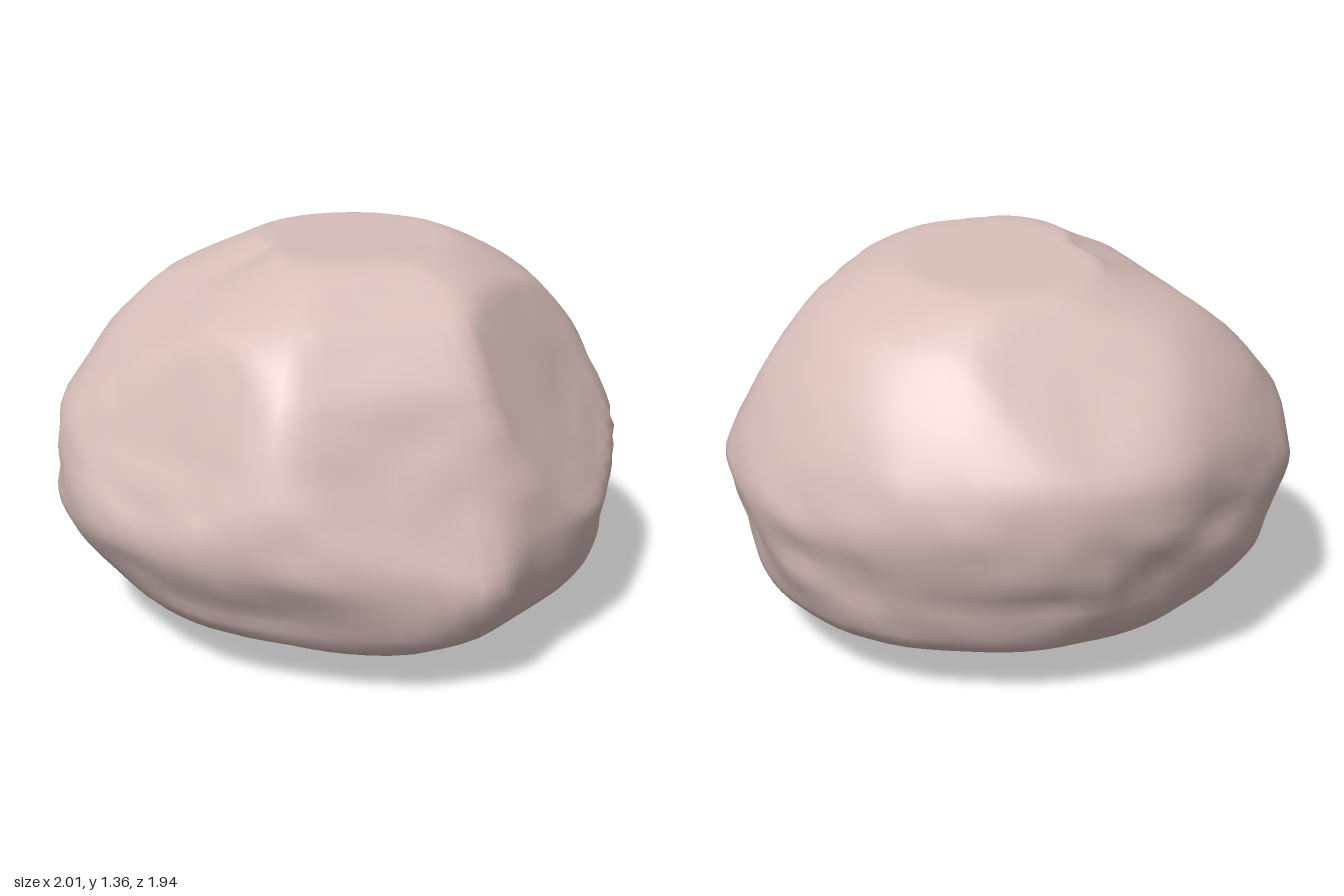
import * as THREE from 'three';

// Heights of the main cross-sections, bottom to top
const HEIGHTS = [0.045, 0.18, 0.32, 0.48, 0.65, 0.82, 1.0, 1.18, 1.3];

// Radius at each height, one row every 30 degrees from +x towards +z
const PROFILES = [
  [0.40, 0.82, 0.90, 0.94, 0.99, 0.94, 0.85, 0.70, 0.50],
  [0.42, 0.84, 0.92, 0.96, 0.96, 0.91, 0.83, 0.68, 0.48],
  [0.48, 0.82, 0.91, 0.94, 0.92, 0.87, 0.82, 0.70, 0.52],
  [0.57, 0.88, 0.95, 0.96, 0.94, 0.90, 0.84, 0.72, 0.56],
  [0.48, 0.80, 0.88, 0.98, 0.98, 0.94, 0.87, 0.74, 0.54],
  [0.42, 0.80, 0.89, 0.98, 0.99, 0.95, 0.86, 0.70, 0.42],
  [0.40, 0.78, 0.93, 1.00, 1.00, 0.98, 0.82, 0.62, 0.32],
  [0.42, 0.78, 0.91, 0.98, 1.01, 0.97, 0.86, 0.67, 0.38],
  [0.42, 0.74, 0.85, 0.91, 0.94, 0.92, 0.85, 0.70, 0.46],
  [0.42, 0.74, 0.83, 0.89, 0.96, 0.96, 0.83, 0.68, 0.52],
  [0.42, 0.75, 0.83, 0.89, 0.95, 0.93, 0.84, 0.71, 0.55],
  [0.42, 0.80, 0.88, 0.93, 0.97, 0.94, 0.86, 0.73, 0.53],
];

// Broken-off flat faces: outward direction and a point on each face
const FACETS = [
  [[0, 1, -0.04], [0, 1.345, 0]], // top
  [[0, 0.86, 0.51], [0, 1.35, 0.4]], // front edge of the top
  [[0, 0.59, 0.81], [0, 1.22, 0.62]], // upper front
  [[0, 0.35, 0.94], [0, 0.95, 0.79]], // front
  [[-0.77, 0.4, 0.5], [-0.45, 1, 0.77]], // front, right-hand side
  [[0.66, 0.45, 0.59], [0.25, 1, 0.77]], // front, left-hand side
  [[-0.6, 0.8, 0], [-0.56, 1.2, 0]], // right shoulder
  [[0, 0.68, -0.73], [0, 1.09, -0.71]], // back shoulder
].map(([normal, point]) => new THREE.Plane().setFromNormalAndCoplanarPoint(
  new THREE.Vector3(...normal).normalize(), new THREE.Vector3(...point)));

const mix = THREE.MathUtils.lerp;

// Curve through a, b, c, d between b and c, partly straightened for flatter faces
function blend(a, b, c, d, t) {
  const cubic = b + 0.5 * t * (c - a + t * (2 * a - 5 * b + 4 * c - d + t * (3 * (b - c) + d - a)));
  return mix(mix(b, c, t), cubic, 0.75);
}

// Repeatable value noise in the range -1 to 1
function hash(x, y, z) {
  const s = Math.sin(x * 127.1 + y * 311.7 + z * 74.7) * 43758.5453;
  return 2 * (s - Math.floor(s)) - 1;
}
function noise(x, y, z) {
  const [i, j, k] = [x, y, z].map(Math.floor);
  const [u, v, w] = [x - i, y - j, z - k];
  const edge = (dy, dz) => mix(hash(i, j + dy, k + dz), hash(i + 1, j + dy, k + dz), u);
  return mix(mix(edge(0, 0), edge(1, 0), v), mix(edge(0, 1), edge(1, 1), v), w);
}

function rockGeometry() {
  const around = 72, steps = 4;
  const ys = [0, ...HEIGHTS, 1.36, 1.37];
  const rows = PROFILES.map((p) => [0, ...p, p[8] * 0.65, 0]);
  const last = ys.length - 1;
  const rings = last * steps;
  const positions = [], indices = [];
  const p = new THREE.Vector3();

  for (let j = 0; j <= rings; j++) {
    const level = Math.min(Math.floor(j / steps), last - 1);
    const t = j / steps - level;
    const along = (list) => blend(list[Math.max(level - 1, 0)], list[level],
      list[level + 1], list[Math.min(level + 2, last)], t);
    const y = Math.max(0, along(ys));
    const radii = rows.map(along);
    for (let i = 0; i < around; i++) {
      const angle = (i / around) * Math.PI * 2;
      const s = (i / around) * 12;
      const n = Math.floor(s);
      let r = blend(radii[(n + 11) % 12], radii[n % 12], radii[(n + 1) % 12], radii[(n + 2) % 12], s - n);
      const cx = Math.cos(angle), cz = Math.sin(angle);
      // Pointed lower corner at the front
      r += 0.06 * Math.exp(-(((angle - 1.32) / 0.16) ** 2) - ((y - 0.4) / 0.2) ** 2);
      p.set(cx * r, y, cz * r);
      for (const facet of FACETS) {
        const excess = facet.distanceToPoint(p);
        if (excess > 0) p.addScaledVector(facet.normal, -excess);
      }
      // Chips are strongest around the waist and the back, faint on the flat faces
      const waist = Math.exp(-(((p.y - 0.5) / 0.32) ** 2));
      const amount = (0.006 + 0.022 * waist * (1 - 0.35 * cz)) * Math.min(1, r * 1.5);
      const chip = amount * (noise(p.x * 3.3 + 7, p.y * 4.5, p.z * 3.3 + 3)
        + 0.7 * noise(p.x * 7, p.y * 10 + 5, p.z * 7));
      positions.push(p.x + cx * chip, p.y, p.z + cz * chip);
    }
  }
  for (let j = 0; j < rings; j++) {
    for (let i = 0; i < around; i++) {
      const k = (i + 1) % around;
      const a = j * around + i, b = a + around;
      const c = j * around + k, d = c + around;
      if (j < rings - 1) indices.push(a, b, d);
      if (j > 0) indices.push(a, d, c);
    }
  }

  const geometry = new THREE.BufferGeometry();
  geometry.setAttribute('position', new THREE.Float32BufferAttribute(positions, 3));
  geometry.setIndex(indices);
  geometry.computeVertexNormals();
  return geometry;
}

export function createModel() {
  const stone = new THREE.MeshStandardMaterial({ color: 0xd9bfba });
  stone.name = 'pinkish stone';
  const boulder = new THREE.Mesh(rockGeometry(), stone);
  boulder.name = 'boulder';
  const group = new THREE.Group();
  group.name = 'rock';
  group.add(boulder);
  return group;
}
